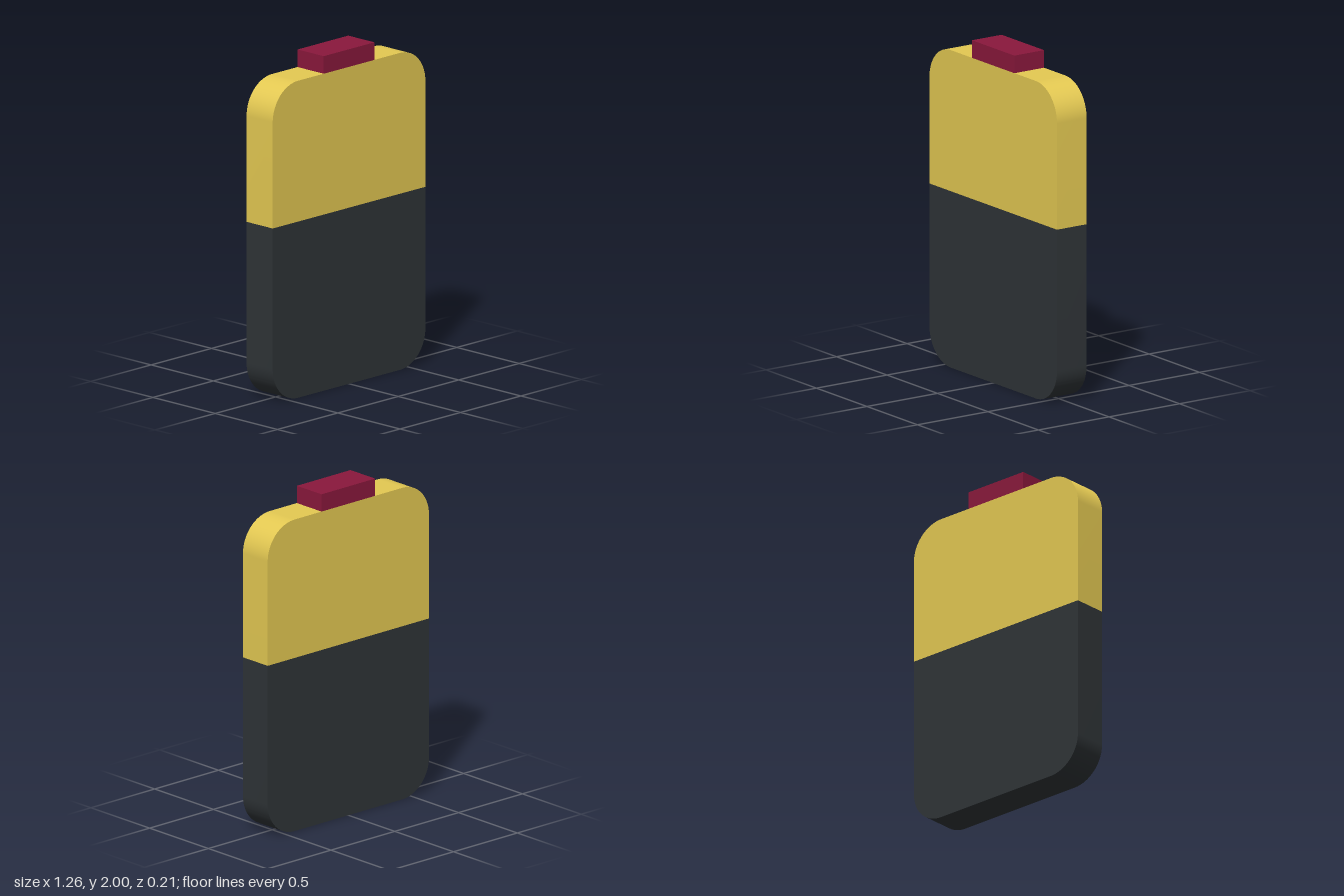
import * as THREE from 'three';
import { toCreasedNormals } from 'three/addons/utils/BufferGeometryUtils.js';

const HALF_W = 0.632, DEPTH = 0.21, RADIUS = 0.21;
const SPLIT = 1.053, BODY_TOP = 1.895, TOP = 2;

// Slab from the split line to endY, with its two far corners rounded
function halfSlab(name, endY, color) {
  const s = Math.sign(endY - SPLIT);
  const cy = endY - s * RADIUS, cx = HALF_W - RADIUS;
  const up = s > 0;
  const shape = new THREE.Shape();
  shape.moveTo(-HALF_W, SPLIT);
  shape.lineTo(HALF_W, SPLIT);
  shape.lineTo(HALF_W, cy);
  shape.absarc(cx, cy, RADIUS, 0, s * Math.PI / 2, !up);
  shape.lineTo(-cx, endY);
  shape.absarc(-cx, cy, RADIUS, s * Math.PI / 2, s * Math.PI, !up);
  shape.closePath();
  const extruded = new THREE.ExtrudeGeometry(shape, { depth: DEPTH, bevelEnabled: false, curveSegments: 16 });
  extruded.translate(0, 0, -DEPTH / 2);
  const mesh = new THREE.Mesh(toCreasedNormals(extruded, 0.5), new THREE.MeshStandardMaterial({ color }));
  mesh.name = name;
  return mesh;
}

export function createModel() {
  const model = new THREE.Group();
  model.name = 'twoToneTablet';

  // Two halves of the body
  model.add(halfSlab('upperBody', BODY_TOP, 0xe4c952));
  model.add(halfSlab('lowerBody', 0, 0x2f3437));

  // Block on the top edge
  const tab = new THREE.Mesh(
    new THREE.BoxGeometry(0.42, TOP - BODY_TOP, DEPTH),
    new THREE.MeshStandardMaterial({ color: 0x8a183c })
  );
  tab.name = 'topTab';
  tab.position.y = (TOP + BODY_TOP) / 2;
  model.add(tab);

  return model;
}
